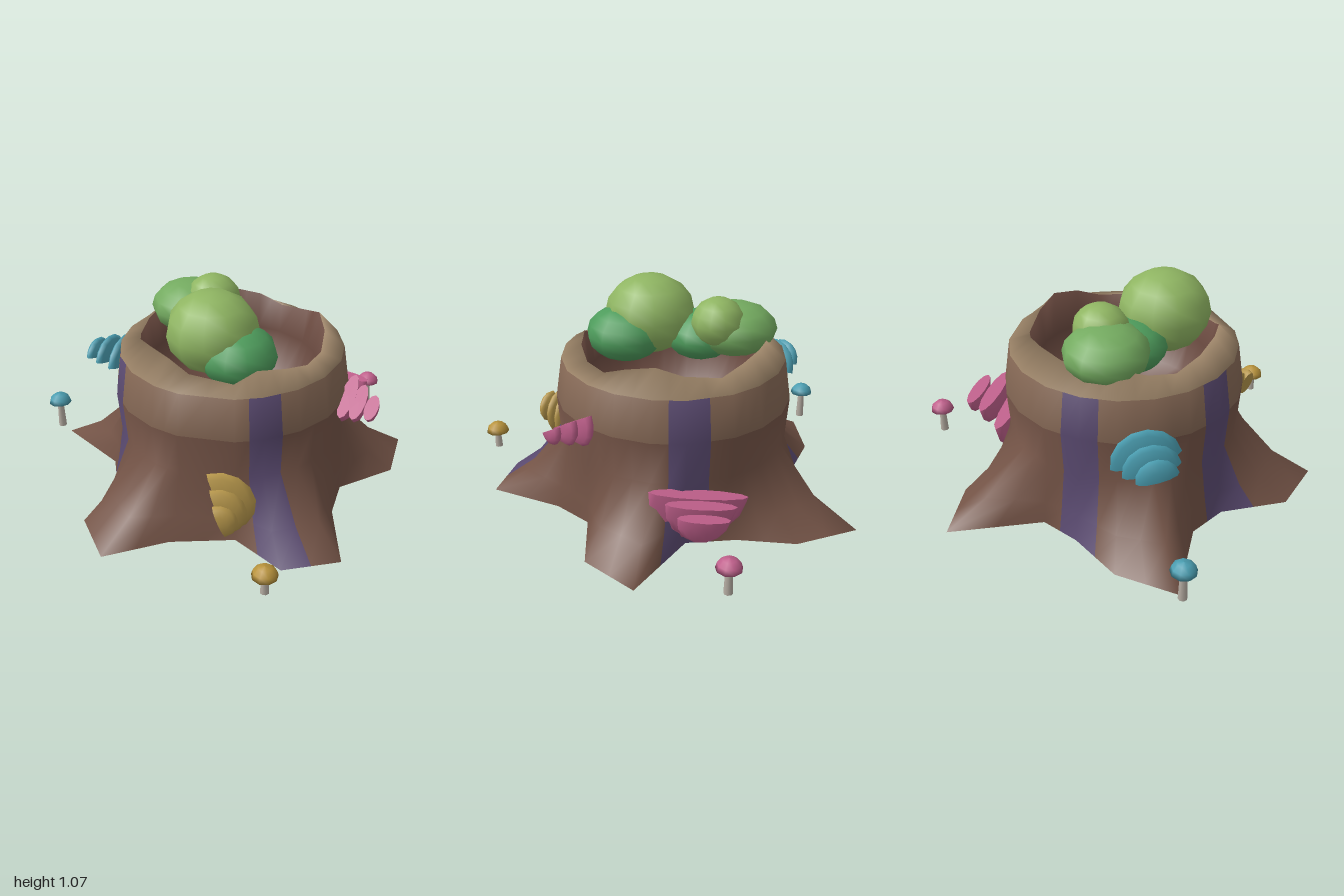
import * as THREE from 'three';

const V = (x, y, z) => new THREE.Vector3(x, y, z);

function addMesh(parent, name, geometry, color, side = THREE.FrontSide) {
  const mesh = new THREE.Mesh(geometry, new THREE.MeshStandardMaterial({ color, side }));
  mesh.name = name;
  parent.add(mesh);
  return mesh;
}

// Root outline on the ground (x, z) and rim height above each point
const ROOTS = [
  [0.24, -1, 0.82], [0.41, -0.73, 0.8], [0.43, -0.45, 0.76], [0.5, -0.22, 0.79],
  [0.89, -0.06, 0.83], [0.73, 0.2, 0.8], [0.42, 0.27, 0.75], [0.31, 0.45, 0.75],
  [0.22, 0.81, 0.78], [-0.06, 0.79, 0.8], [-0.2, 0.53, 0.74], [-0.5, 0.46, 0.77],
  [-0.82, 0.48, 0.82], [-0.86, 0.19, 0.83], [-0.66, -0.07, 0.8], [-0.64, -0.27, 0.76],
  [-0.83, -0.64, 0.78], [-0.54, -0.72, 0.81], [-0.26, -0.66, 0.79], [-0.06, -0.66, 0.81],
];
const STREAKS = [3, 9, 14, 18];
const CX = -0.05, CZ = -0.06;

// One ring of the stump: circle of radius r, blended toward the root outline
function ring(r, y, spread = 0) {
  const pts = ROOTS.map(([x, z, top]) => {
    const a = Math.atan2(z - CZ, x - CX);
    const c = V(CX + r * Math.cos(a), y ?? top, CZ + r * Math.sin(a));
    return c.lerp(V(x, c.y, z), spread);
  });
  // a midpoint between neighbours lets a streak cover half of each side
  return pts.flatMap((p, i) => [p, p.clone().lerp(pts[(i + 1) % pts.length], 0.5)]);
}

// Skin a list of rings, then split the faces into named, coloured parts
function loft(parent, rings, partOf) {
  const n = rings[0].length, all = [], parts = new Map();
  for (let j = 0; j < rings.length - 1; j++) {
    for (let i = 0; i < n; i++) {
      const a = j * n + i, b = j * n + (i + 1) % n;
      const faces = [a, a + n, b, b, a + n, b + n];
      const [name, color] = partOf(j, i);
      if (!parts.has(name)) parts.set(name, { color, index: [] });
      parts.get(name).index.push(...faces);
      all.push(...faces);
    }
  }
  const whole = new THREE.BufferGeometry().setFromPoints(rings.flat());
  whole.setIndex(all);
  whole.computeVertexNormals();
  for (const [name, { color, index }] of parts) {
    const g = whole.clone();
    g.setIndex(index);
    addMesh(parent, name, g, color);
  }
}

function buildStump(root) {
  const stump = new THREE.Group();
  stump.name = 'stump';
  root.add(stump);
  const isStreak = (i) => STREAKS.some((s) => i === 2 * s || i === 2 * s - 1);
  const rings = [
    ring(0.57, 0, 1), ring(0.57, 0.11, 0.5), ring(0.56, 0.31), ring(0.575, 0.52),
    ring(0.545, 0.72), ring(0.445), // outer wall up to the ragged rim
    ring(0.42, 0.62), ring(0.37, 0.42), ring(0, 0.38), // hollow
  ];
  loft(stump, rings, (j, i) => {
    if (j === 4) return ['rim', 0x9c8468];
    if (j > 4) return ['hollow', 0x69493f];
    if (isStreak(i)) return ['barkStreaks', 0x5a4a70];
    return j === 3 ? ['upperBark', 0x846754] : ['bark', 0x735346];
  });
  loft(stump, [ring(0, 0), ring(0.57, 0, 1)], () => ['underside', 0x664a44]);
}

// Moss cushions: centre, radii, colour
function buildMoss(root) {
  const moss = new THREE.Group();
  moss.name = 'moss';
  root.add(moss);
  const light = 0x8fb562, mid = 0x74ab60, dark = 0x4e9c5c;
  [
    [V(-0.18, 0.87, 0.08), V(0.22, 0.195, 0.225), light],
    [V(-0.09, 0.79, 0.19), V(0.195, 0.135, 0.185), dark],
    [V(-0.18, 0.82, -0.34), V(0.21, 0.13, 0.2), mid],
    [V(-0.09, 0.88, -0.27), V(0.135, 0.12, 0.13), light],
    [V(-0.17, 0.78, -0.17), V(0.18, 0.12, 0.17), dark],
  ].forEach(([pos, scale, color], i) => {
    const blob = addMesh(moss, `mossCushion${i + 1}`, new THREE.SphereGeometry(1, 11, 8), color);
    blob.position.copy(pos);
    blob.scale.copy(scale);
    blob.rotation.y = i;
  });
}

// Shelf fungus: three half-lens plates stacked outward, round side toward bulge
function shelfFungus(root, name, color, outward, bulge, plates) {
  const group = new THREE.Group();
  group.name = name;
  root.add(group);
  const out = outward.clone().normalize();
  const z = bulge.clone().addScaledVector(out, -bulge.dot(out)).normalize();
  const x = new THREE.Vector3().crossVectors(out, z);
  const turn = new THREE.Matrix4().makeBasis(x, out, z);
  plates.forEach(([px, py, pz, r], i) => {
    const plate = new THREE.Group();
    plate.name = `plate${i + 1}`;
    plate.position.set(px, py, pz);
    plate.quaternion.setFromRotationMatrix(turn);
    plate.scale.set(r, 0.028 + r * 0.07, r);
    addMesh(plate, 'cap', new THREE.SphereGeometry(1, 7, 6, 0, Math.PI), color);
    addMesh(plate, 'cutFace', new THREE.CircleGeometry(1, 12), color, THREE.DoubleSide);
    group.add(plate);
  });
}

function buildShelves(root) {
  const pink = 0xc0608c;
  shelfFungus(root, 'frontShelfFungus', 0xb8984c, V(-0.35, 0, 0.94), V(0.93, 0.37, 0.3), [
    [-0.27, 0.23, 0.53, 0.165], [-0.29, 0.23, 0.6, 0.125], [-0.31, 0.235, 0.67, 0.085],
  ]);
  shelfFungus(root, 'sideShelfFungus', pink, V(0.93, 0, -0.35), V(0.05, -1, 0.15), [
    [0.5, 0.27, -0.28, 0.235], [0.62, 0.29, -0.31, 0.165], [0.71, 0.28, -0.335, 0.12],
  ]);
  shelfFungus(root, 'backShelfFungus', 0x4a9db0, V(-0.75, 0, -0.66), V(0.15, 1, -0.15), [
    [-0.52, 0.47, -0.48, 0.16], [-0.59, 0.48, -0.53, 0.13], [-0.65, 0.49, -0.57, 0.095],
  ]);
  shelfFungus(root, 'cornerShelfFungus', pink, V(0.75, 0, 0.66), V(0.33, -0.85, -0.375), [
    [0.42, 0.55, 0.3, 0.125], [0.455, 0.54, 0.35, 0.1], [0.5, 0.53, 0.4, 0.07],
  ]);
}

// Little standing mushroom with a domed cap
function mushroom(root, name, color, x, z, capY) {
  const group = new THREE.Group();
  group.name = name;
  group.position.set(x, 0, z);
  root.add(group);
  const h = capY - 0.02;
  addMesh(group, 'stem', new THREE.CylinderGeometry(0.015, 0.021, h, 8), 0xb5aca2).position.y = 0.03 + h / 2;
  const dome = new THREE.LatheGeometry(
    [[0, 0], [0.06, 0], [0.052, 0.026], [0.03, 0.046], [0, 0.053]].map((p) => new THREE.Vector2(...p)), 9);
  addMesh(group, 'cap', dome, color).position.y = capY;
}

export function createModel() {
  const root = new THREE.Group();
  root.name = 'mossyStump';
  buildStump(root);
  buildMoss(root);
  buildShelves(root);
  mushroom(root, 'blueMushroom', 0x4a9db0, -0.87, -0.67, 0.178);
  mushroom(root, 'pinkMushroom', 0xc0608c, 0.865, -0.465, 0.155);
  mushroom(root, 'yellowMushroom', 0xb8933c, -0.18, 0.935, 0.12);
  return root;
}
